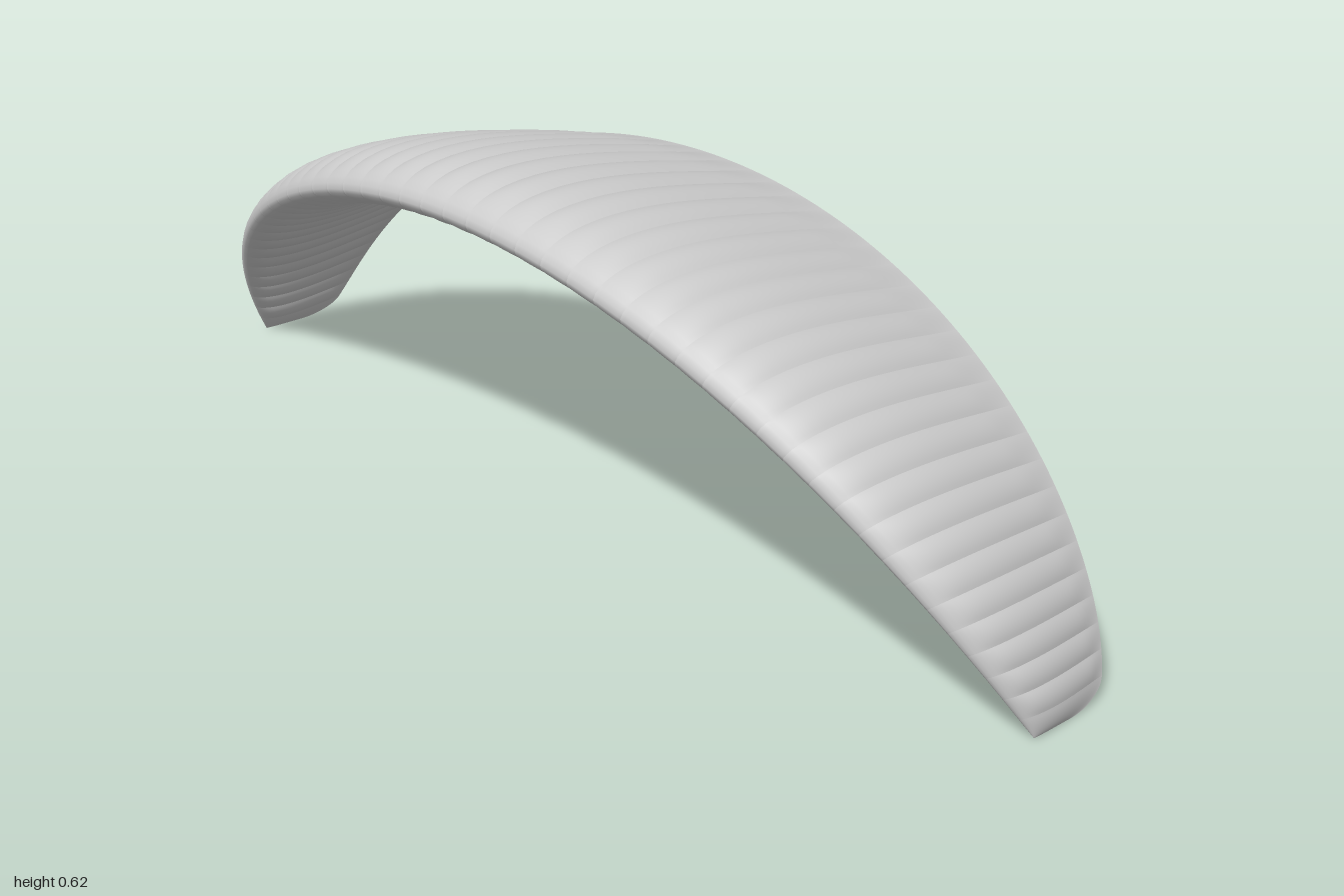
import * as THREE from 'three';
import { ParametricGeometry } from 'three/addons/geometries/ParametricGeometry.js';

const CELLS = 49;                          // inflated cells across the span
const SWEEP = THREE.MathUtils.degToRad(76); // arc angle from centre to tip
const A = 0.985 / Math.sin(SWEEP);         // ellipse radii of the arc
const B = 0.56 / (1 - Math.cos(SWEEP));

// Arc angle of rib k; cells narrow slightly towards the tips
function ribAngle(k) {
  const p = 2 * k / CELLS - 1;
  return SWEEP * (1.08 * p - 0.08 * p ** 3);
}

// Height fraction along the arc (1 = centre, 0 = tip)
const heightAt = (t) => Math.max(0, (Math.cos(t) - Math.cos(SWEEP)) / (1 - Math.cos(SWEEP)));
const TIP = heightAt(ribAngle(1));         // the tip rounds off below this

// Leading edge, trailing edge and thickness factor at height fraction c
function outline(c) {
  const q = 1 - Math.min(1, c / TIP);
  const round = Math.sqrt(Math.max(0, 1 - q * q));
  const lead = 0.015 + 0.26 * (1.35 * c - 0.35 * c * c);
  const trail = -(0.158 + 0.114 * c - 0.027 * Math.exp(-c / 0.1)) + 0.065 * (1 - round);
  return { lead, trail, round };
}

// Aerofoil half thickness, 1 at its fullest; s runs from nose to trailing edge
const foil = (s) => Math.sqrt(s) * Math.pow(1 - s, 1.25) / 0.351;

// Point on the skin: angle t along the arc, u around the aerofoil, puff = cell swelling
function skinPoint(t, u, puff, target) {
  const c = heightAt(t);
  const { lead, trail, round } = outline(c);
  const chord = lead - trail;
  const s = THREE.MathUtils.clamp((1 + Math.cos(u * 2 * Math.PI)) / 2, 0, 1);
  const swell = puff * Math.min(1, 8 * s, 6 * (1 - s));
  const h = u < 0.5
    ? 0.1 * chord * foil(s) * round + swell
    : -0.073 * chord * foil(s) * round - swell;
  const offset = h - 0.018 * s * chord;

  // outward normal of the arc
  let nx = B * Math.sin(t), ny = A * Math.cos(t);
  const len = Math.hypot(nx, ny);
  nx /= len; ny /= len;
  target.set(A * Math.sin(t) + nx * offset, 0.56 * c + ny * offset, lead - s * chord);
}

// One cell between two ribs; the end cells close into the rounded tips
function cellGeometry(k) {
  const t0 = ribAngle(k), step = ribAngle(k + 1) - t0;
  const first = k === 0, last = k === CELLS - 1, end = first || last;
  const geometry = new ParametricGeometry((u, v, target) => {
    let w = v;
    if (last) w = Math.sin(v * Math.PI / 2);
    if (first) w = 1 - Math.sin((1 - v) * Math.PI / 2);
    const t = t0 + w * step;
    const width = step * Math.hypot(A * Math.cos(t), B * Math.sin(t));
    const puff = end ? 0 : 0.1 * width * 4 * v * (1 - v);
    skinPoint(t, u, puff, target);
  }, 48, end ? 12 : 8);
  geometry.computeVertexNormals();
  return geometry;
}

export function createModel() {
  const group = new THREE.Group();
  group.name = 'canopy';
  const material = new THREE.MeshStandardMaterial({ color: 0xcccccc, side: THREE.DoubleSide });
  for (let k = 0; k < CELLS; k++) {
    const cell = new THREE.Mesh(cellGeometry(k), material);
    cell.name = k === 0 ? 'rightTip' : k === CELLS - 1 ? 'leftTip' : 'cell' + k;
    group.add(cell);
  }
  return group;
}
